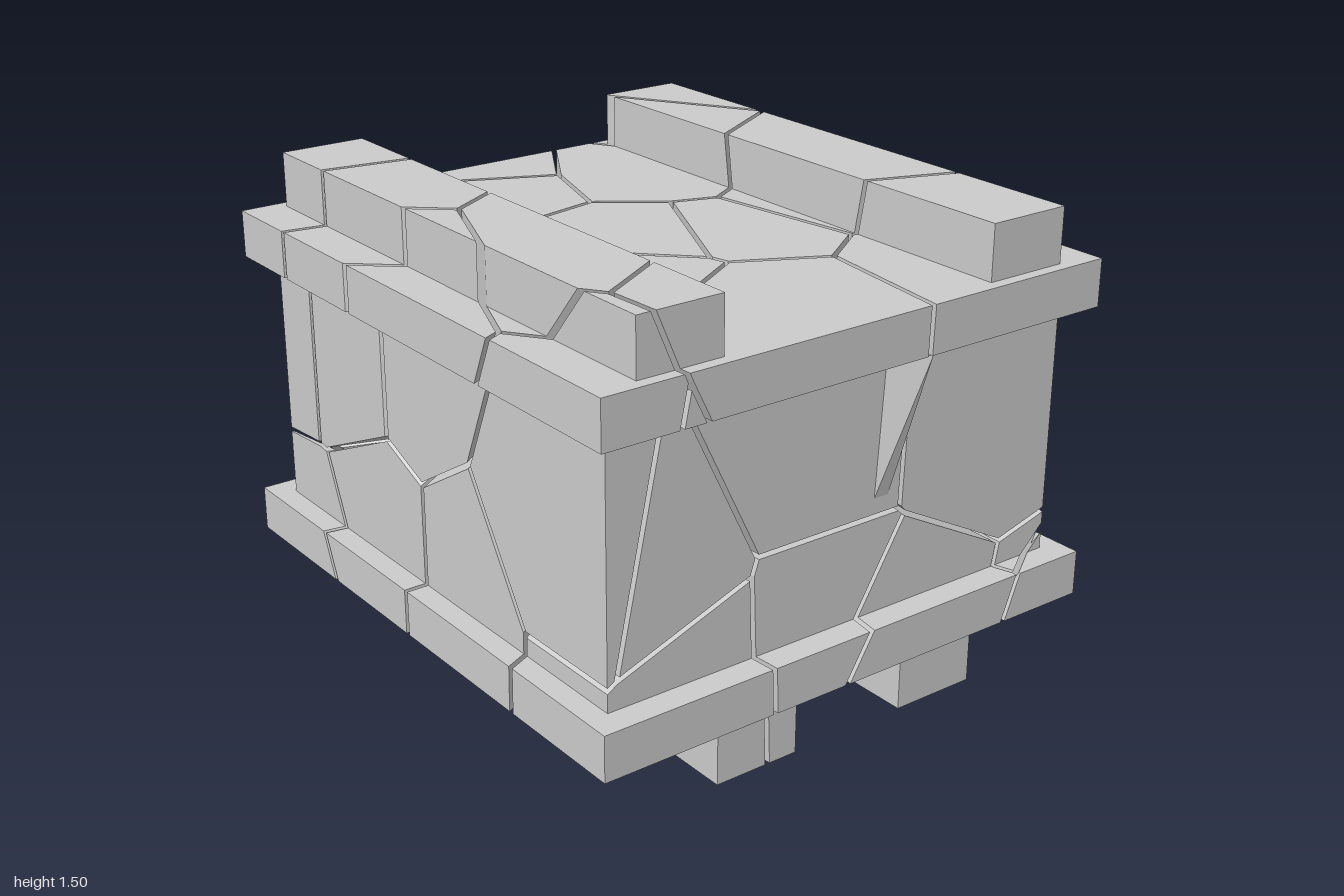
import * as THREE from 'three';
import { ConvexGeometry } from 'three/addons/geometries/ConvexGeometry.js';

const V = (x, y, z) => new THREE.Vector3(x, y, z);
const HALF_GAP = 0.008;

// Crate blocks: min corner, max corner
const blocks = {
  leftSkid: [[0.205, 0, -0.96], [0.5, 0.19, 0.96]],
  rightSkid: [[-0.505, 0, -0.96], [-0.21, 0.19, 0.96]],
  baseSlab: [[-0.93, 0.19, -1], [0.925, 0.34, 1]],
  body: [[-0.855, 0.34, -0.91], [0.85, 1.17, 0.91]],
  lid: [[-0.93, 1.17, -1], [0.925, 1.325, 1]],
  leftRail: [[0.495, 1.325, -0.96], [0.785, 1.505, 0.96]],
  rightRail: [[-0.79, 1.325, -0.96], [-0.5, 1.505, 0.96]],
};

// Centres of the cracked chunks, by region
const frontSeeds = [
  [-0.05, 0.95, 0.62], [0.57, 0.93, 0.7], [-0.753, 0.6, 0.66], [-0.82, 0.614, 0.66],
  [-0.05, 0.37, 0.62], [-0.658, 0.343, 0.66], [0.2, 0.22, 0.66], [0.98, -0.08, 0.75],
];
const topSeeds = [
  [0.19, 0.95, 0.15], [-0.26, 0.95, 0.26], [-0.04, 0.95, 0.04], [-0.2, 0.95, -0.79],
  [0.43, 0.95, -0.6], [-0.13, 0.95, -0.94], [0.82, 0.95, -0.84], [-0.753, 0.95, -0.616],
  [-0.73, 0.95, -0.76], [-1.2, 0.95, -0.11],
];
const sideSeeds = [
  [0.8, 1.05, 0.06], [0.77, 0.87, 0.05], [0.8, 0.8, -0.68], [0.8, 0.1, 0.48],
  [0.8, 0.55, -0.98], [-0.85, 0.35, 0.25], [-0.85, 0.35, -0.35],
];
const backSeeds = [
  [0.5, 0.6, -0.78], [0.05, 0.55, -0.8], [-0.45, 0.6, -0.75],
  [0.25, 0.2, -0.8], [-0.3, 0.2, -0.75], [-0.8, 0.2, -0.7],
];
const bottomSeeds = [
  [0, 0.2, -0.1], [0.38, 0.1, 0.22], [0.45, 0.1, -0.3], [-0.35, 0.1, 0.2], [-0.4, 0.1, -0.3],
];
const seeds = [frontSeeds, topSeeds, sideSeeds, backSeeds, bottomSeeds].flat().map((p) => V(...p));

// Six outward planes of a block
function blockPlanes([lo, hi]) {
  return [0, 1, 2].flatMap((axis) => {
    const n = V(0, 0, 0).setComponent(axis, 1);
    return [new THREE.Plane(n, -hi[axis]), new THREE.Plane(n.clone().negate(), lo[axis])];
  });
}

// Planes halfway to every other chunk centre, pulled in to leave the crack
function chunkPlanes(seed) {
  return seeds.filter((s) => s !== seed).map((s) => {
    const n = s.clone().sub(seed).normalize();
    const mid = s.clone().add(seed).multiplyScalar(0.5).addScaledVector(n, -HALF_GAP);
    return new THREE.Plane().setFromNormalAndCoplanarPoint(n, mid);
  });
}

// Keep the part of a polygon behind a plane
function clip(poly, plane) {
  const out = [];
  poly.forEach((a, i) => {
    const b = poly[(i + 1) % poly.length];
    const da = plane.distanceToPoint(a), db = plane.distanceToPoint(b);
    if (da <= 0) out.push(a);
    if (da * db < 0) out.push(a.clone().lerp(b, da / (da - db)));
  });
  return out;
}

// Convex solid bounded by planes: each face is a large quad cut by all the others
function solidFromPlanes(planes) {
  const positions = [];
  for (const plane of planes) {
    const n = plane.normal;
    const u = (Math.abs(n.y) < 0.9 ? V(0, 1, 0) : V(1, 0, 0)).cross(n).normalize();
    const v = n.clone().cross(u);
    const c = plane.coplanarPoint(V(0, 0, 0));
    let poly = [[-1, -1], [1, -1], [1, 1], [-1, 1]].map(([a, b]) =>
      c.clone().addScaledVector(u, a * 6).addScaledVector(v, b * 6));
    for (const other of planes) {
      if (other !== plane && poly.length) poly = clip(poly, other);
    }
    for (let i = 1; i + 1 < poly.length; i++) {
      for (const p of [poly[0], poly[i], poly[i + 1]]) positions.push(p.x, p.y, p.z);
    }
  }
  if (positions.length < 36) return null;
  const g = new THREE.BufferGeometry();
  g.setAttribute('position', new THREE.Float32BufferAttribute(positions, 3));
  g.computeVertexNormals();
  return g;
}

export function createModel() {
  const model = new THREE.Group();
  model.name = 'crackedStoneCrate';
  const stone = new THREE.MeshStandardMaterial({ color: 0xcccccc, flatShading: true });

  // Every block, broken into its chunks
  for (const [name, box] of Object.entries(blocks)) {
    const part = new THREE.Group();
    part.name = name;
    const walls = blockPlanes(box);
    seeds.forEach((seed, i) => {
      const geometry = solidFromPlanes([...walls, ...chunkPlanes(seed)]);
      if (!geometry) return;
      const chunk = new THREE.Mesh(geometry, stone);
      chunk.name = `${name}Chunk${i + 1}`;
      part.add(chunk);
    });
    model.add(part);
  }

  // Loose splinter under the front edge of the lid
  const splinter = new THREE.Mesh(new ConvexGeometry([
    V(0.235, 1.17, 1), V(0.13, 1.17, 0.9), V(0.24, 1.17, 0.9), V(0.1, 0.67, 0.9), V(0.16, 0.67, 0.9),
  ]), stone);
  splinter.name = 'frontSplinter';
  model.add(splinter);
  return model;
}
